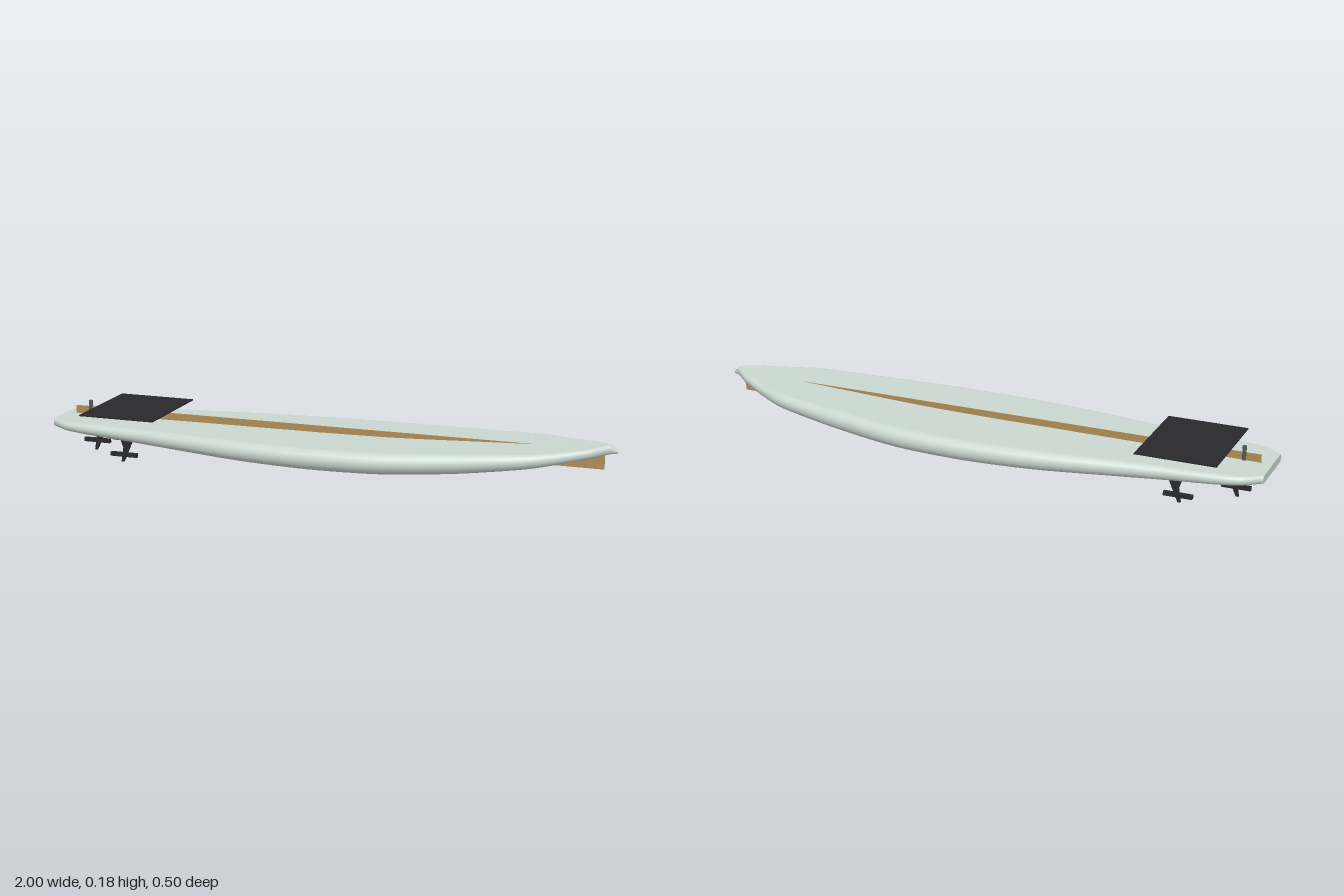
import * as THREE from 'three';

const paint = (color) => new THREE.MeshStandardMaterial({ color, side: THREE.DoubleSide });

// Board stations from tail to nose: x, half width, bottom y, deck y
const STATIONS = [
  [-1, 0.106, 0.102, 0.13], [-0.935, 0.147, 0.099, 0.131], [-0.85, 0.163, 0.094, 0.132],
  [-0.67, 0.178, 0.084, 0.133], [-0.5, 0.2, 0.076, 0.134], [-0.25, 0.235, 0.067, 0.135],
  [0, 0.25, 0.063, 0.136], [0.25, 0.244, 0.067, 0.14], [0.5, 0.206, 0.082, 0.15],
  [0.72, 0.166, 0.108, 0.159], [0.82, 0.123, 0.123, 0.163], [0.92, 0.066, 0.139, 0.172],
  [0.975, 0.022, 0.148, 0.179], [1, 0.006, 0.15, 0.162],
];

// Lofted board: a flat deck and bottom joined by round rails
function boardGeometry() {
  const under = new THREE.CatmullRomCurve3(STATIONS.map(([x, w, b]) => new THREE.Vector3(x, b, w)), false, 'catmullrom', 0.4);
  const over = new THREE.CatmullRomCurve3(STATIONS.map(([x, w, , t]) => new THREE.Vector3(x, t, w)), false, 'catmullrom', 0.4);
  const rings = 78, arc = 10, n = 2 * (arc + 1);
  const pos = [], index = [];
  for (let i = 0; i <= rings; i++) {
    const b = under.getPoint(i / rings), t = over.getPoint(i / rings);
    const h = (t.y - b.y) / 2, mid = (t.y + b.y) / 2, r = Math.min(h, b.z);
    for (let j = 0; j < n; j++) {
      const side = j <= arc ? 1 : -1;
      const a = -Math.PI / 2 + (Math.PI * (j % (arc + 1))) / arc + (side < 0 ? Math.PI : 0);
      pos.push(b.x, mid + h * Math.sin(a), side * (b.z - r) + r * Math.cos(a));
    }
  }
  for (let i = 0; i < rings; i++) {
    for (let j = 0; j < n; j++) {
      const k = (j + 1) % n, a = i * n + j, b = i * n + k;
      index.push(a, a + n, b, b, a + n, b + n);
    }
  }
  // Flat tail and nose ends, with their own vertices for a crisp edge
  for (const ring of [0, rings]) {
    const start = pos.length / 3;
    for (let j = 0; j < n * 3; j++) pos.push(pos[ring * n * 3 + j]);
    for (let j = 1; j < n - 1; j++) {
      if (ring === 0) index.push(start, start + j, start + j + 1);
      else index.push(start, start + j + 1, start + j);
    }
  }
  const geo = new THREE.BufferGeometry();
  geo.setAttribute('position', new THREE.Float32BufferAttribute(pos, 3));
  geo.setIndex(index);
  geo.computeVertexNormals();
  return geo;
}

export function createModel() {
  const model = new THREE.Group();
  model.name = 'surfboard';
  const boardMat = paint(0xc9d6cf), wood = paint(0xb08d57), black = paint(0x29292b), grey = paint(0x55585a);

  const add = (name, geo, mat, x, y, z, parent = model) => {
    const mesh = new THREE.Mesh(geo, mat);
    mesh.name = name;
    mesh.position.set(x, y, z);
    parent.add(mesh);
    return mesh;
  };

  add('board', boardGeometry(), boardMat, 0, 0, 0);

  // Thin straight wooden blade along the centre line
  add('stringer', new THREE.BoxGeometry(1.92, 0.066, 0.002), wood, -0.002, 0.126, 0);

  // Traction pad and leash pin on the tail
  add('tractionPad', new THREE.BoxGeometry(0.28, 0.004, 0.354), black, -0.724, 0.168, 0);
  add('leashPin', new THREE.CylinderGeometry(0.007, 0.007, 0.06, 16), grey, -0.904, 0.151, 0);
  add('leashPlug', new THREE.BoxGeometry(0.026, 0.007, 0.012), black, -0.804, 0.048, 0);

  // Swept fin blades, each with a horizontal bar
  const blade = new THREE.Shape([
    [0.044, 0.093], [-0.014, 0.093], [0.002, 0.05], [-0.006, 0.0], [0.004, 0.0], [0.022, 0.04],
  ].map(([x, y]) => new THREE.Vector2(x, y)));
  const bladeGeo = new THREE.ExtrudeGeometry(blade, { depth: 0.006, bevelEnabled: false });
  bladeGeo.translate(0, 0, -0.003);
  const barGeo = new THREE.BoxGeometry(0.1, 0.014, 0.014);
  const fins = [['leftFin', -0.727, 0.115, 0.025], ['centreFin', -0.888, -0.005, 0.035], ['rightFin', -0.727, -0.125, 0.025]];
  for (const [name, x, z, barY] of fins) {
    const fin = new THREE.Group();
    fin.name = name;
    fin.position.set(x, 0, z);
    add('finBlade', bladeGeo, black, 0, 0, 0, fin);
    add('finBar', barGeo, black, 0.004, barY, 0, fin);
    model.add(fin);
  }
  return model;
}
